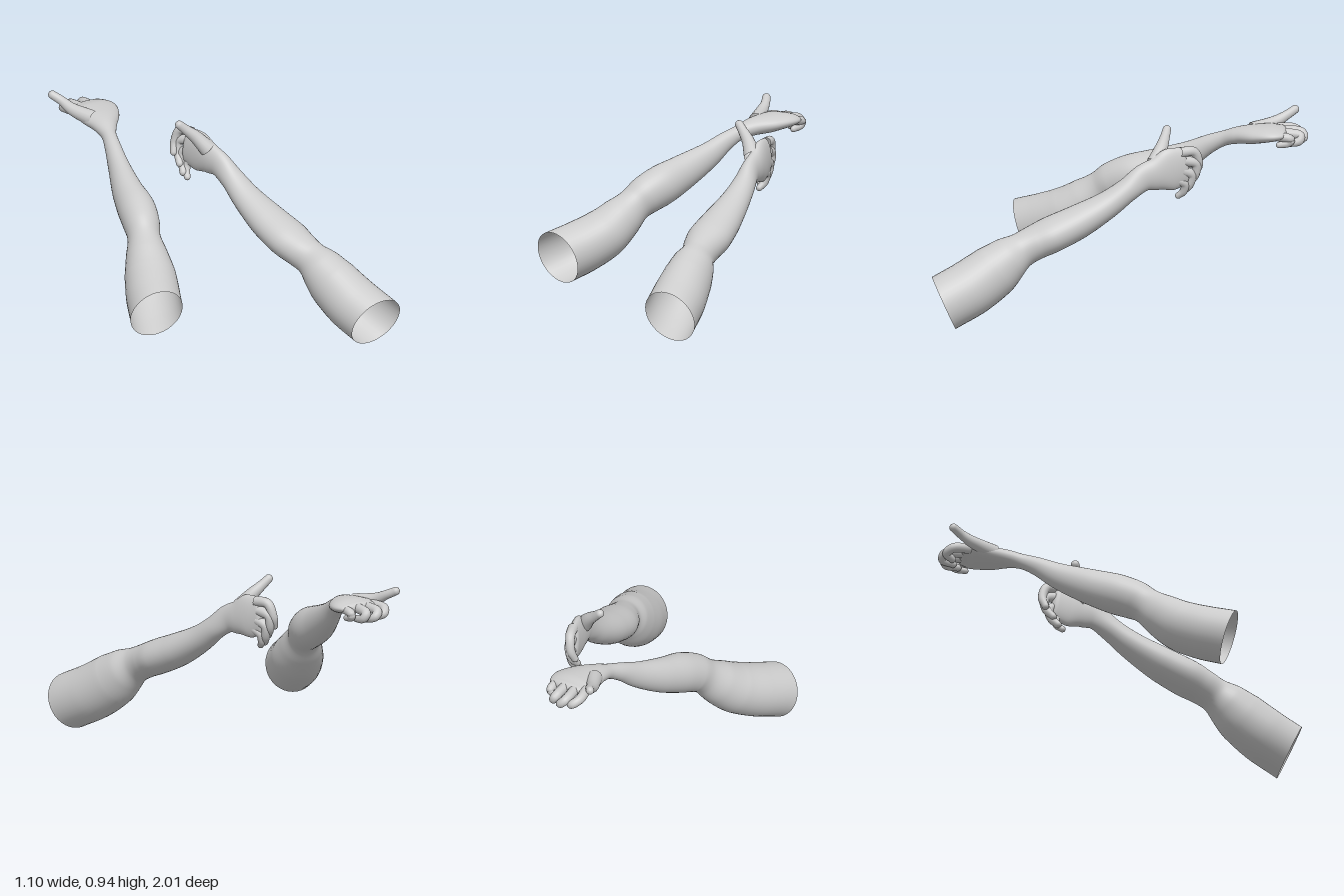
import * as THREE from 'three';

const material = new THREE.MeshStandardMaterial({ color: 0xcccccc, side: THREE.DoubleSide });

// Smooth tube through stations [x, y, z, halfWidth, halfHeight] with a rounded far end.
// tilt slants the open near end.
function limb(name, stations, { ref = [0, 1, 0], sides = 28, steps = 8, tilt = null } = {}) {
  const path = new THREE.CatmullRomCurve3(stations.map(s => new THREE.Vector3(s[0], s[1], s[2])));
  const size = new THREE.CatmullRomCurve3(stations.map(s => new THREE.Vector3(s[3], s[4] ?? s[3], 0)));
  const n = (stations.length - 1) * steps, capRings = 6;
  const refVec = new THREE.Vector3(...ref);
  const pos = [], index = [];
  for (let i = 0; i <= n + capRings; i++) {
    const u = Math.min(i / n, 1);
    const c = path.getPoint(u), t = path.getTangent(u), r = size.getPoint(u);
    const side = refVec.clone().cross(t).normalize();
    const up = t.clone().cross(side);
    if (i > n) {
      const a = (i - n) / capRings * Math.PI / 2;
      c.addScaledVector(t, Math.sin(a) * Math.min(r.x, r.y));
      r.multiplyScalar(Math.max(Math.cos(a), 0.001));
    }
    const fade = tilt === null ? 0 : Math.max(0, 1 - i / (2 * steps));
    for (let j = 0; j < sides; j++) {
      const a = j / sides * Math.PI * 2;
      const p = c.clone().addScaledVector(side, r.x * Math.cos(a)).addScaledVector(up, r.y * Math.sin(a));
      p.addScaledVector(t, fade * (tilt * Math.cos(a) - 0.02));
      pos.push(p.x, p.y, p.z);
      if (i < n + capRings) {
        const k = i * sides, j2 = (j + 1) % sides;
        index.push(k + j, k + j2, k + sides + j, k + j2, k + sides + j2, k + sides + j);
      }
    }
  }
  const geo = new THREE.BufferGeometry();
  geo.setAttribute('position', new THREE.Float32BufferAttribute(pos, 3));
  geo.setIndex(index);
  geo.computeVertexNormals();
  const mesh = new THREE.Mesh(geo, material);
  mesh.name = name;
  return mesh;
}

// Arm and palm in one skin, plus thumb and four curled fingers
function buildArm(name, { skin, tilt, thumb, fingers, ref }) {
  const group = new THREE.Group();
  group.name = name;
  group.add(limb('armAndPalm', skin, { tilt, sides: 36 }));
  group.add(limb('thumb', thumb, { ref, sides: 16 }));
  const names = ['indexFinger', 'middleFinger', 'ringFinger', 'littleFinger'];
  const radii = [0.026, 0.024, 0.022, 0.018];
  fingers.forEach((joints, i) => {
    const f = i === 3 ? 0.88 : 1;
    group.add(limb(names[i], joints.map((p, k) => [...p, radii[k] * f]), { ref, sides: 14, steps: 6 }));
  });
  return group;
}

export function createModel() {
  const model = new THREE.Group();
  model.name = 'armPair';

  // Arm on the -x side, hand laid flat
  model.add(buildArm('rightArm', {
    tilt: -0.035,
    skin: [
      [-0.42, 0.262, 0.165, 0.135, 0.138],
      [-0.34, 0.30, 0.09, 0.135, 0.135],
      [-0.25, 0.355, 0.01, 0.128, 0.127],
      [-0.18, 0.425, -0.06, 0.105, 0.11],
      [-0.12, 0.492, -0.12, 0.082, 0.09],
      [-0.08, 0.53, -0.16, 0.09, 0.098],
      [-0.025, 0.568, -0.225, 0.094, 0.102],
      [0.055, 0.62, -0.34, 0.077, 0.09],
      [0.155, 0.692, -0.465, 0.053, 0.066],
      [0.22, 0.752, -0.545, 0.041, 0.047],
      [0.268, 0.786, -0.602, 0.037, 0.038],
      [0.32, 0.81, -0.665, 0.062, 0.042],
      [0.375, 0.822, -0.735, 0.102, 0.045],
      [0.42, 0.832, -0.80, 0.118, 0.039],
      [0.44, 0.834, -0.845, 0.105, 0.029],
    ],
    ref: [0, 1, 0],
    thumb: [
      [0.325, 0.828, -0.74, 0.042], [0.315, 0.855, -0.86, 0.031],
      [0.316, 0.885, -0.925, 0.023], [0.307, 0.908, -0.975, 0.021],
    ],
    fingers: [
      [[0.345, 0.833, -0.86], [0.365, 0.828, -0.945], [0.40, 0.808, -0.965], [0.415, 0.79, -0.925]],
      [[0.40, 0.833, -0.86], [0.435, 0.823, -0.955], [0.46, 0.80, -0.955], [0.455, 0.785, -0.90]],
      [[0.455, 0.833, -0.85], [0.49, 0.82, -0.925], [0.50, 0.796, -0.915], [0.48, 0.785, -0.86]],
      [[0.50, 0.83, -0.80], [0.525, 0.817, -0.86], [0.518, 0.797, -0.855], [0.495, 0.785, -0.81]],
    ],
  }));

  // Arm on the +x side, hand upright with the thumb raised
  model.add(buildArm('leftArm', {
    tilt: 0.035,
    skin: [
      [0.37, 0.13, 0.925, 0.138, 0.142],
      [0.375, 0.188, 0.80, 0.136, 0.142],
      [0.382, 0.262, 0.68, 0.123, 0.135],
      [0.388, 0.32, 0.60, 0.107, 0.112],
      [0.393, 0.36, 0.53, 0.085, 0.088],
      [0.397, 0.39, 0.465, 0.098, 0.086],
      [0.408, 0.425, 0.38, 0.112, 0.089],
      [0.428, 0.48, 0.25, 0.101, 0.084],
      [0.455, 0.56, 0.10, 0.076, 0.068],
      [0.474, 0.63, 0, 0.058, 0.06],
      [0.483, 0.687, -0.085, 0.043, 0.069],
      [0.492, 0.703, -0.15, 0.042, 0.084],
      [0.50, 0.72, -0.22, 0.038, 0.108],
      [0.505, 0.732, -0.285, 0.03, 0.098],
    ],
    ref: [1, 0, 0],
    thumb: [
      [0.475, 0.755, -0.15, 0.042], [0.44, 0.82, -0.20, 0.032],
      [0.402, 0.865, -0.235, 0.024], [0.378, 0.893, -0.255, 0.021],
    ],
    fingers: [
      [[0.51, 0.805, -0.27], [0.512, 0.80, -0.345], [0.505, 0.735, -0.372], [0.485, 0.685, -0.365]],
      [[0.512, 0.76, -0.29], [0.515, 0.74, -0.352], [0.505, 0.68, -0.352], [0.48, 0.635, -0.325]],
      [[0.512, 0.71, -0.28], [0.512, 0.685, -0.33], [0.50, 0.63, -0.322], [0.475, 0.595, -0.30]],
      [[0.508, 0.665, -0.25], [0.508, 0.64, -0.295], [0.495, 0.60, -0.295], [0.475, 0.575, -0.275]],
    ],
  }));

  return model;
}
